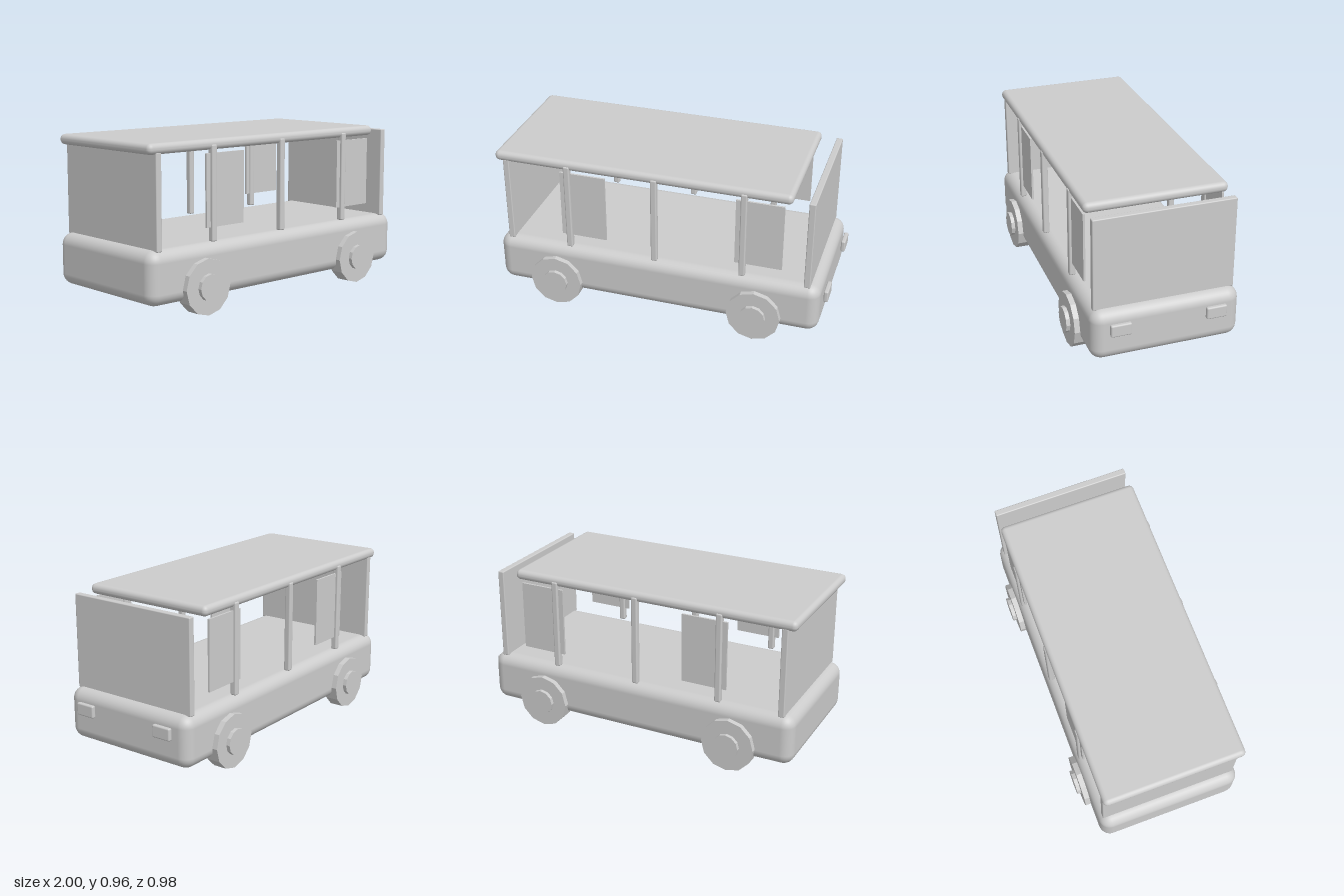
import * as THREE from 'three';
import { RoundedBoxGeometry } from 'three/addons/geometries/RoundedBoxGeometry.js';

export function createModel() {
  const bus = new THREE.Group();
  bus.name = 'openBus';
  const grey = new THREE.MeshStandardMaterial({ color: 0xcccccc });
  grey.name = 'plain grey';

  const add = (name, geometry, x, y, z) => {
    const mesh = new THREE.Mesh(geometry, grey);
    mesh.name = name;
    mesh.position.set(x, y, z);
    bus.add(mesh);
    return mesh;
  };

  // Rounded block given by its lower and upper limits on each axis
  const block = (name, [x0, x1], [y0, y1], [z0, z1], radius, segments = 2) =>
    add(name, new RoundedBoxGeometry(x1 - x0, y1 - y0, z1 - z0, segments, radius),
      (x0 + x1) / 2, (y0 + y1) / 2, (z0 + z1) / 2);

  // Lower body and roof
  block('body', [-1, 0.962], [0.087, 0.391], [-0.433, 0.433], 0.068, 4);
  block('roof', [-0.99, 0.778], [0.9, 0.96], [-0.415, 0.415], 0.028, 3);

  // Full-width end walls
  block('rearWall', [-0.941, -0.904], [0.382, 0.912], [-0.409, 0.409], 0.006);
  block('frontWall', [0.866, 0.904], [0.382, 0.929], [-0.409, 0.409], 0.006);

  const wheelGeometry = new THREE.CylinderGeometry(0.159, 0.159, 0.082, 12).toNonIndexed();
  const hubGeometry = new THREE.CylinderGeometry(0.076, 0.076, 0.05, 12).toNonIndexed();
  for (const geometry of [wheelGeometry, hubGeometry]) {
    geometry.rotateX(Math.PI / 2);
    geometry.computeVertexNormals(); // faceted sides
  }

  for (const side of [1, -1]) {
    // Posts along each open side
    for (const x of [-0.543, -0.019, 0.506]) {
      add('sidePost', new RoundedBoxGeometry(0.037, 0.535, 0.037, 2, 0.008), x, 0.662, side * 0.403);
    }
    // Thin screens beside the outer posts
    for (const x of [-0.452, 0.597]) {
      add('sideScreen', new THREE.BoxGeometry(0.276, 0.409, 0.012), x, 0.678, side * 0.4);
    }
    // Wheels with raised hubs
    for (const x of [-0.628, 0.591]) {
      add('wheel', wheelGeometry, x, 0.159, side * 0.424);
      add('hub', hubGeometry, x, 0.16, side * 0.463);
    }
    // Headlights
    add('headlight', new RoundedBoxGeometry(0.027, 0.073, 0.12, 2, 0.009), 0.985, 0.292, side * 0.277);
  }
  return bus;
}
